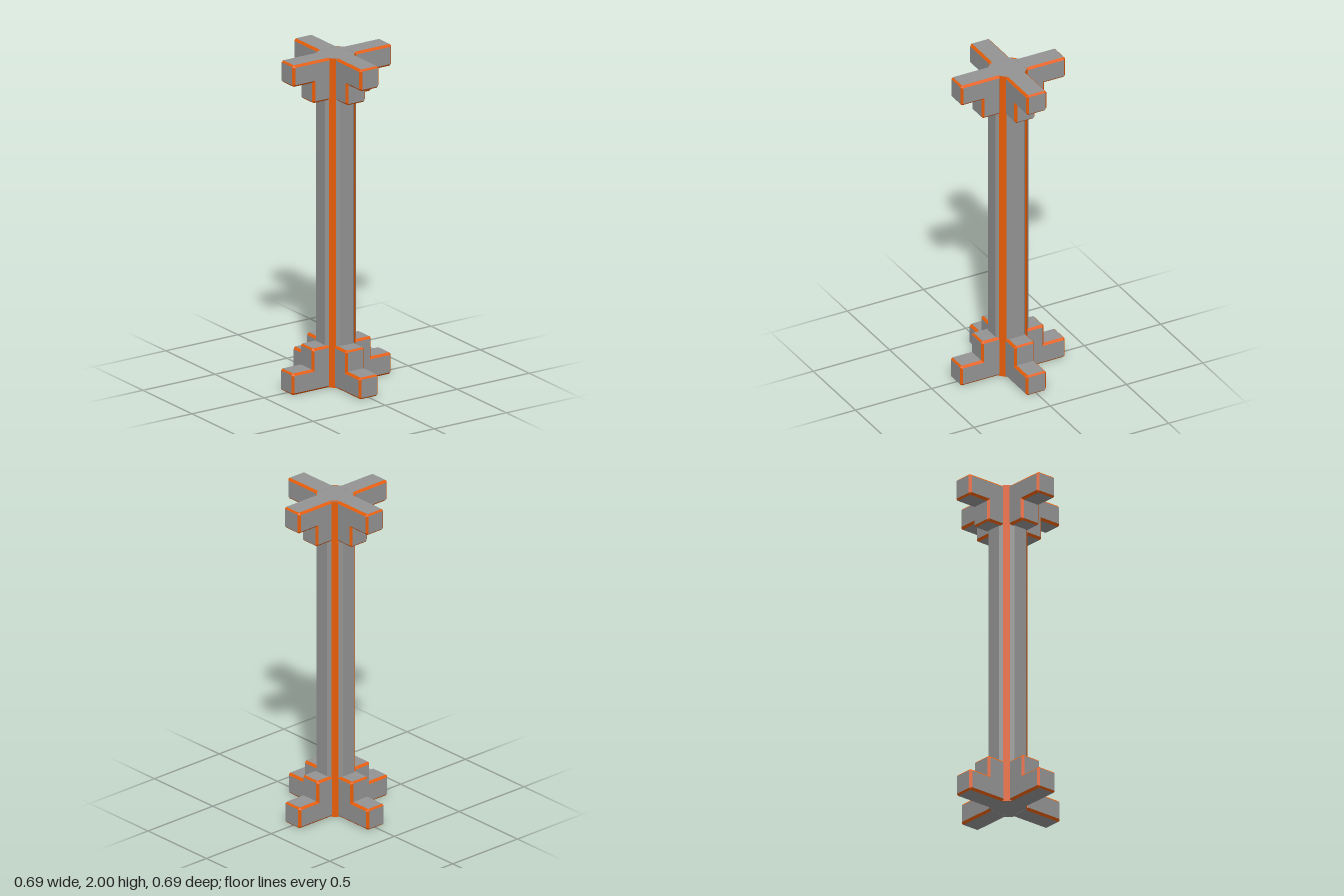
import * as THREE from 'three';

const grey = new THREE.MeshStandardMaterial({ color: 0x939393, flatShading: true });
const orange = new THREE.MeshStandardMaterial({ color: 0xe65c08, flatShading: true });

const APOTHEM = 0.108; // pillar half-width across flats
const BEVEL = 0.013;
const ARM_WIDTH = 0.134;

function mesh(name, geometry, material) {
  const m = new THREE.Mesh(geometry, material);
  m.name = name;
  return m;
}

// Separates a bevelled solid into its axis-aligned faces and its slanted edges
function splitFaces(geometry) {
  const pos = geometry.getAttribute('position');
  const flat = [], slanted = [];
  const tri = new THREE.Triangle(), n = new THREE.Vector3();
  for (let i = 0; i < pos.count; i += 3) {
    tri.setFromAttributeAndIndices(pos, i, i + 1, i + 2);
    tri.getNormal(n);
    const straight = Math.max(Math.abs(n.x), Math.abs(n.y), Math.abs(n.z)) > 0.98;
    for (const p of [tri.a, tri.b, tri.c]) (straight ? flat : slanted).push(p.x, p.y, p.z);
  }
  return [flat, slanted].map((points) => {
    const g = new THREE.BufferGeometry();
    g.setAttribute('position', new THREE.Float32BufferAttribute(points, 3));
    g.computeVertexNormals();
    return g;
  });
}

// Stepped bracket, standing on y = 0 and reaching out along +x
function bracketGeometry() {
  const c = 0.01, inner = 0.08, step = 0.205, tip = 0.343, low = 0.131, high = 0.256;
  const profile = new THREE.Shape([
    [inner, 0], [tip - c, 0], [tip, c], [tip, low - c], [tip - c, low],
    [step, low], [step, high - c], [step - c, high], [inner, high],
  ].map(([x, y]) => new THREE.Vector2(x, y)));
  const g = new THREE.ExtrudeGeometry(profile, {
    depth: ARM_WIDTH - 2 * BEVEL, bevelEnabled: true, bevelSegments: 1,
    bevelThickness: BEVEL, bevelSize: BEVEL, bevelOffset: -BEVEL,
  });
  return g.translate(0, 0, -ARM_WIDTH / 2 + BEVEL);
}

export function createModel() {
  const model = new THREE.Group();
  model.name = 'pillar';

  // Octagonal shaft with flats facing the four axes
  const radius = APOTHEM / Math.cos(Math.PI / 8);
  const shaft = new THREE.CylinderGeometry(radius, radius, 1.998, 8);
  shaft.rotateY(Math.PI / 8).translate(0, 1, 0);
  model.add(mesh('shaft', shaft, grey));

  // Coloured strips down the diagonal faces
  const strip = new THREE.BoxGeometry(0.042, 1.998, 0.01).translate(0, 1, APOTHEM - 0.0035);
  for (let i = 0; i < 4; i++) {
    const s = mesh('cornerStrip', strip, orange);
    s.rotation.y = Math.PI / 4 + i * Math.PI / 2;
    model.add(s);
  }

  // Four brackets at the foot, four upside down at the head
  const [faces, edges] = splitFaces(bracketGeometry());
  for (const top of [false, true]) {
    for (let i = 0; i < 4; i++) {
      const bracket = new THREE.Group();
      bracket.name = top ? 'headBracket' : 'footBracket';
      bracket.add(mesh('bracketFaces', faces, grey), mesh('bracketEdges', edges, orange));
      bracket.rotation.set(top ? Math.PI : 0, i * Math.PI / 2, 0);
      // The foot sits a touch to one side of the head
      bracket.position.set(top ? 0.002 : -0.003, top ? 2 : 0, 0);
      model.add(bracket);
    }
  }
  return model;
}
